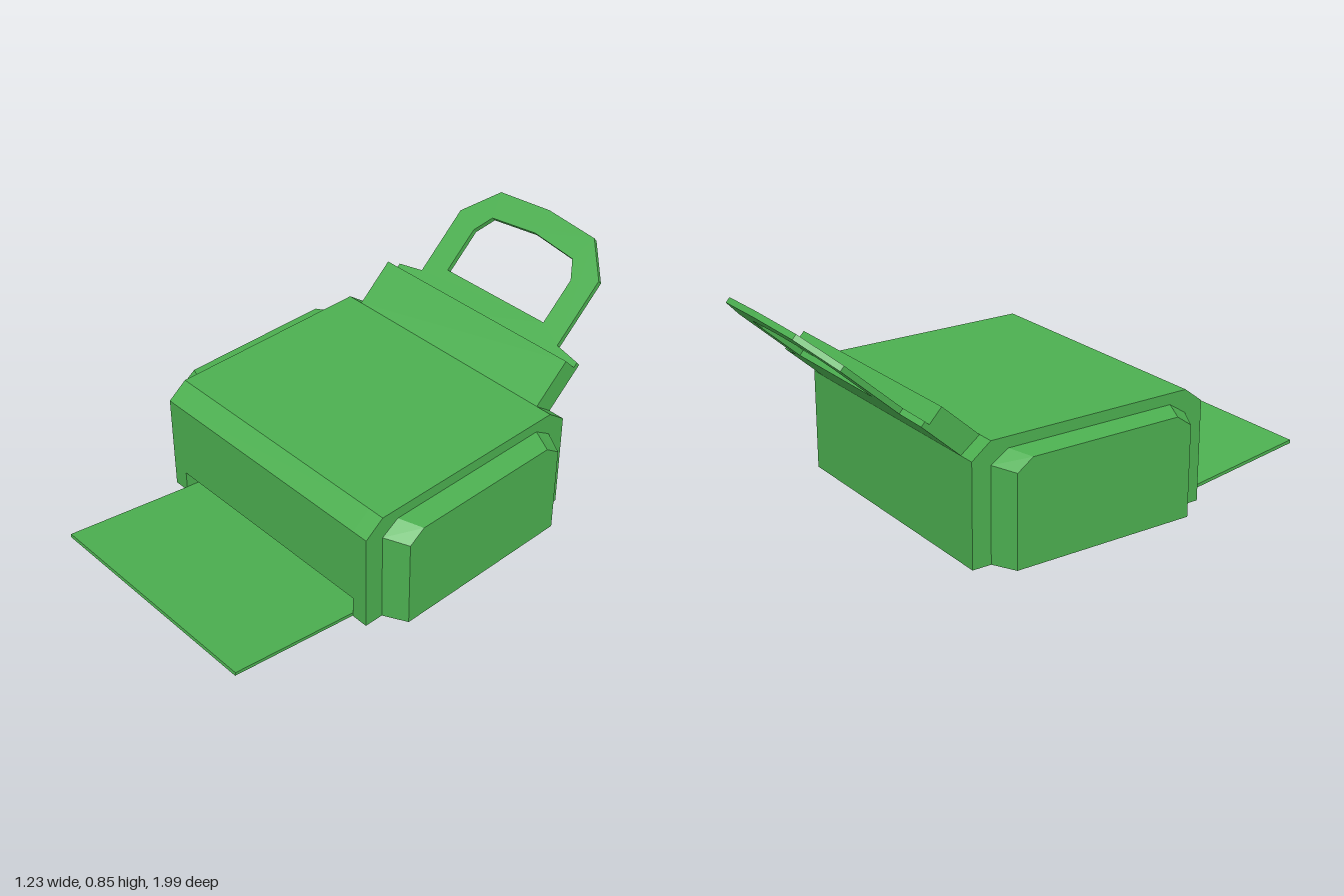
import * as THREE from 'three';

const green = new THREE.MeshStandardMaterial({ color: 0x4caf50, flatShading: true });

const polygon = (points) => new THREE.Shape(points.map(([x, y]) => new THREE.Vector2(x, y)));

// Extrudes a side outline given as [z, y] points from x0 to x1.
function sideExtrude(points, x0, x1) {
  const geo = new THREE.ExtrudeGeometry(polygon(points.map(([z, y]) => [-z, y])),
    { depth: x1 - x0, bevelEnabled: false });
  return geo.rotateY(Math.PI / 2).translate(x0, 0, 0);
}

export function createModel() {
  const model = new THREE.Group();
  const add = (name, geometry) => {
    const mesh = new THREE.Mesh(geometry, green);
    mesh.name = name;
    model.add(mesh);
    return mesh;
  };

  // Main housing: centre section with an output slot, closed by two full-height sides
  const upper = [[0.475, 0.39], [0.4, 0.447], [-0.43, 0.447], [-0.505, 0.39], [-0.505, 0]];
  add('housingCentre', sideExtrude(
    [...upper, [0.385, 0], [0.385, 0.085], [0.475, 0.085]], -0.465, 0.465));
  add('housingLeft', sideExtrude([...upper, [0.475, 0]], 0.465, 0.53));
  add('housingRight', sideExtrude([...upper, [0.475, 0]], -0.53, -0.465));

  // Tapered side covers, narrowing towards their outer face
  const cover = [[0.415, 0], [0.415, 0.36], [0.345, 0.405],
    [-0.345, 0.405], [-0.415, 0.36], [-0.415, 0]];
  for (const side of [1, -1]) {
    const geo = sideExtrude(cover, 0.53, 0.617);
    const pos = geo.attributes.position;
    for (let i = 0; i < pos.count; i++) {
      if (pos.getX(i) > 0.6) {
        pos.setY(i, pos.getY(i) * 0.975);
        pos.setZ(i, pos.getZ(i) * 0.89);
      }
    }
    geo.computeVertexNormals();
    const mesh = add(side > 0 ? 'leftCover' : 'rightCover', geo);
    mesh.rotation.y = side > 0 ? 0 : Math.PI;
    mesh.position.z = -0.015;
  }

  // Output tray, rising slightly towards the front
  add('outputTray', sideExtrude(
    [[0.385, 0], [0.475, 0.004], [1, 0.08], [0.998, 0.093], [0.475, 0.017], [0.385, 0.005]],
    -0.465, 0.465));

  // Thick base of the sloping paper feed
  add('feedBase', sideExtrude(
    [[-0.43, 0.447], [-0.575, 0.577], [-0.638, 0.51], [-0.505, 0.39]], -0.465, 0.465));

  // Thin paper support with an angular opening, continuing the back of the feed
  const half = [[0.465, 0.01], [0.465, 0.2], [0.355, 0.22], [0.355, 0.502], [0.237, 0.638]];
  const mirrored = half.map(([x, y]) => [-x, y]).reverse();
  const support = polygon([...half, [0, 0.658], ...mirrored]);
  support.holes.push(polygon([[-0.25, 0.27], [-0.25, 0.457], [-0.205, 0.532],
    [0, 0.555], [0.205, 0.532], [0.25, 0.457], [0.25, 0.27]]));
  const paperSupport = add('paperSupport',
    new THREE.ExtrudeGeometry(support, { depth: 0.022, bevelEnabled: false }));
  paperSupport.rotation.x = -Math.atan2(0.743, 0.669);
  paperSupport.position.set(0, 0.39, -0.505);

  return model;
}
